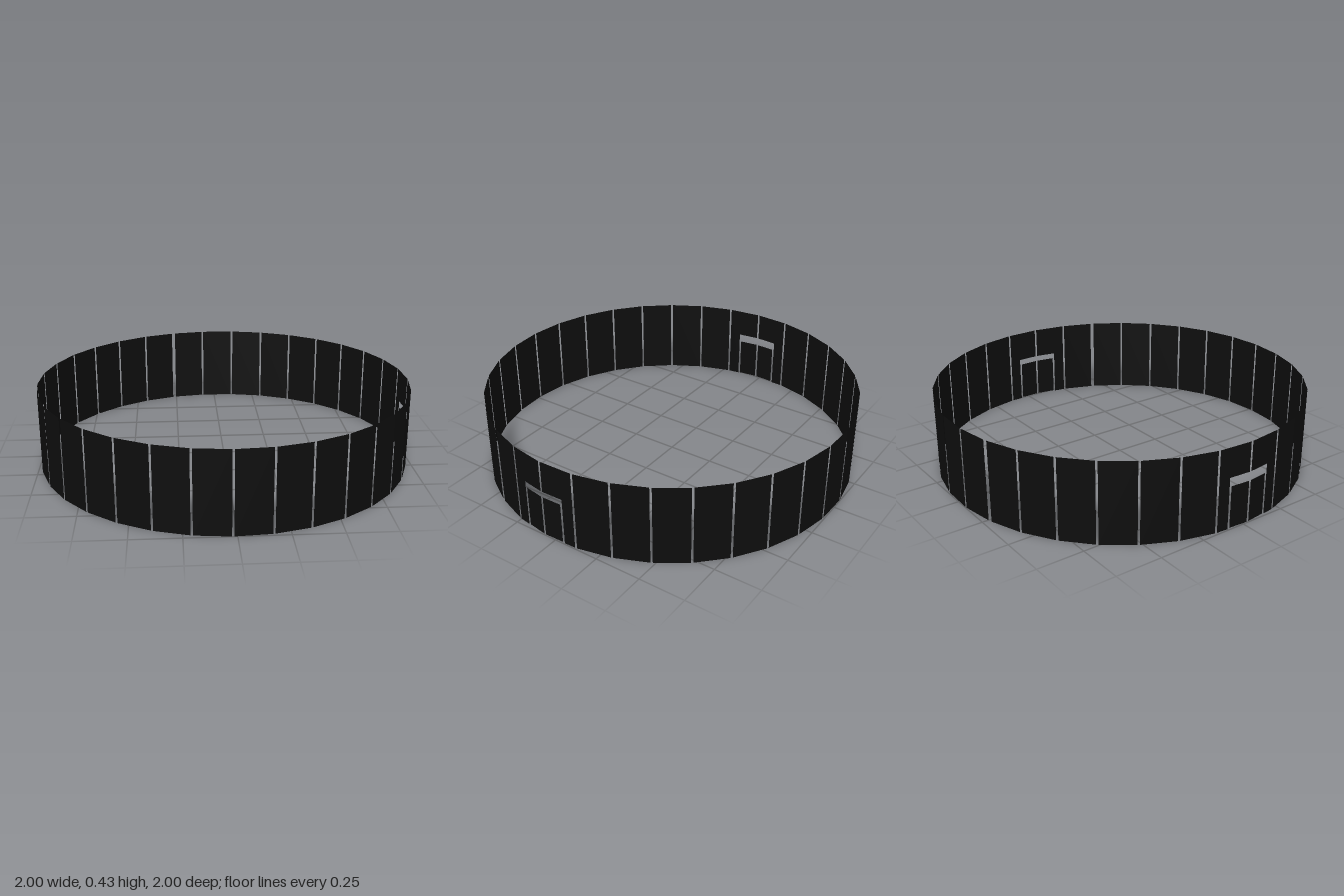
import * as THREE from 'three';

const COUNT = 33;
const STEP = (Math.PI * 2) / COUNT;
const START = THREE.MathUtils.degToRad(9.75); // azimuth of joint 0, from +z towards +x
const HALF = Math.sin(STEP / 2);              // half the width of one bay
const APOTHEM = Math.cos(STEP / 2);
const HEIGHT = 0.43;
const GAP = 0.011;
const WIDE_GAP = 0.02;
const WIDE_JOINTS = [5, 17];
const DOOR_HALF = 0.122;                      // opening width on each side of its joint
const LEAF_BOTTOM = 0.004;
const LEAF_TOP = 0.226;
const DOORS = { 7: 0.258, 24: 0.273 };        // joint number -> opening height

export function createModel() {
  const group = new THREE.Group();
  const material = new THREE.MeshStandardMaterial({ color: 0x0d0d0d, side: THREE.DoubleSide });

  const jointHalf = (j) => (WIDE_JOINTS.includes(j % COUNT) ? WIDE_GAP : GAP) / 2;

  // flat sheet from an outline of [x, y] points
  const sheet = (name, points) => {
    const shape = new THREE.Shape(points.map(([x, y]) => new THREE.Vector2(x, y)));
    const mesh = new THREE.Mesh(new THREE.ShapeGeometry(shape), material);
    mesh.name = name;
    return mesh;
  };

  for (let k = 0; k < COUNT; k++) {
    const bay = new THREE.Group();
    bay.name = 'wallBay';
    const angle = START + (k + 0.5) * STEP;
    bay.position.set(Math.sin(angle) * APOTHEM, 0, Math.cos(angle) * APOTHEM);
    bay.rotation.y = angle;

    const left = -HALF + jointHalf(k);
    const right = HALF - jointHalf(k + 1);
    const doorAtRight = DOORS[k + 1];
    const doorAtLeft = DOORS[k];
    const top = doorAtRight || doorAtLeft;

    if (top) {
      // panel with a notch for half a doorway; s mirrors it for the other half
      const s = doorAtRight ? 1 : -1;
      const outer = doorAtRight ? left : right;
      const inner = doorAtRight ? right : left;
      const jamb = s * (HALF - DOOR_HALF);
      bay.add(sheet('doorwayPanel', [
        [outer, 0], [jamb, 0], [jamb, top], [inner, top], [inner, HEIGHT], [outer, HEIGHT],
      ]));
      // door leaf hanging in the notch
      const edge = jamb + s * GAP;
      bay.add(sheet('doorLeaf', [
        [edge, LEAF_BOTTOM], [inner, LEAF_BOTTOM], [inner, LEAF_TOP], [edge, LEAF_TOP],
      ]));
    } else {
      bay.add(sheet('wallPanel', [[left, 0], [right, 0], [right, HEIGHT], [left, HEIGHT]]));
    }
    group.add(bay);
  }
  return group;
}
